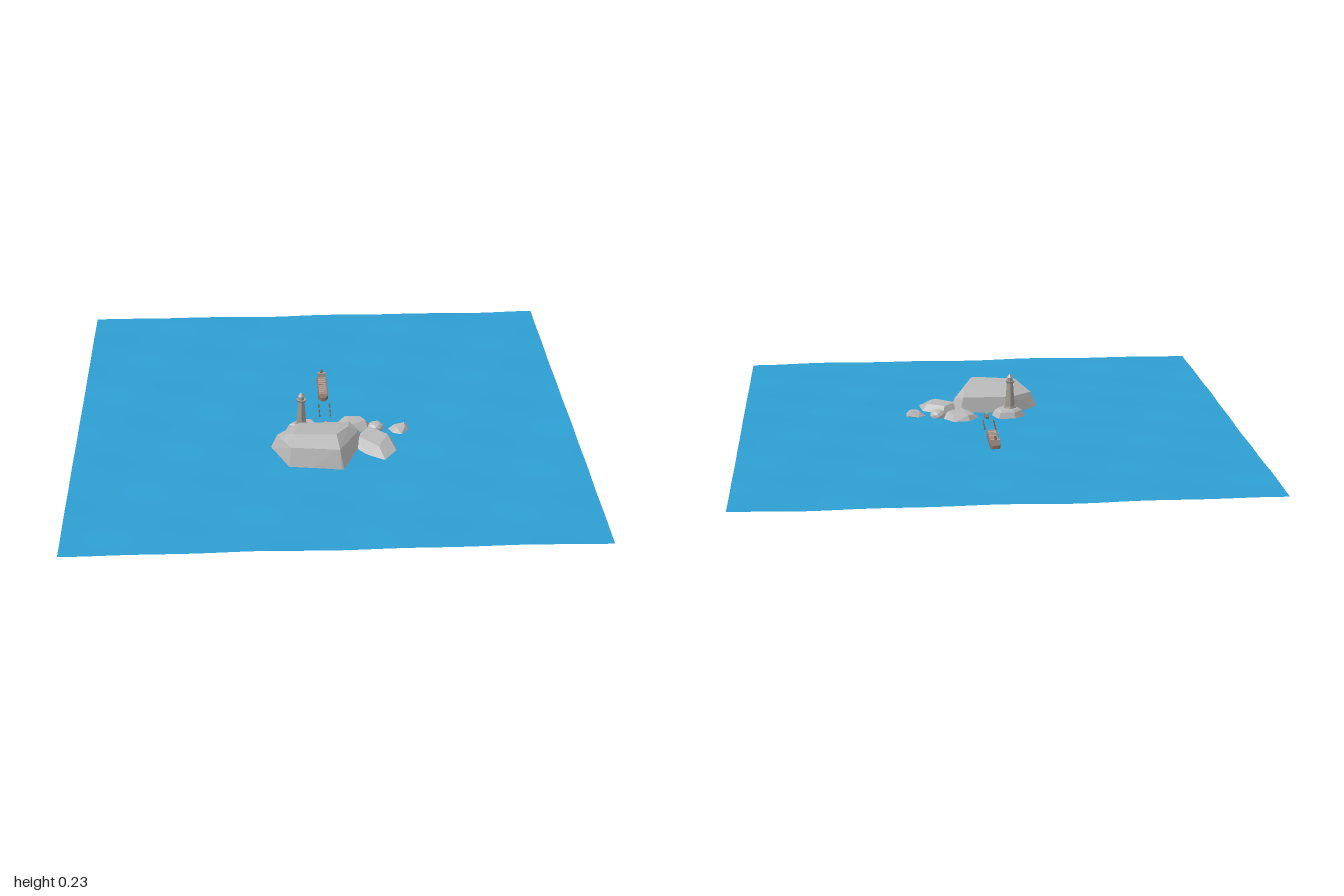
import * as THREE from 'three';
import { ConvexGeometry } from 'three/addons/geometries/ConvexGeometry.js';

const mat = (name, color) => {
  const m = new THREE.MeshStandardMaterial({ color });
  m.name = name;
  m.flatShading = true;
  return m;
};

export function createModel() {
  const root = new THREE.Group();
  const sea = mat('sea blue', 0x2d9fd2);
  sea.side = THREE.DoubleSide;
  sea.flatShading = false;
  const stone = mat('rock grey', 0xb9b9b9);
  const tower = mat('tower grey', 0xa09c98);
  const hullMat = mat('hull brown', 0x8a7468);
  const cargoMat = mat('cargo tan', 0xb39c90);

  const add = (name, geo, m, x = 0, y = 0, z = 0, parent = root) => {
    const mesh = new THREE.Mesh(geo, m);
    mesh.name = name;
    mesh.position.set(x, y, z);
    parent.add(mesh);
    return mesh;
  };
  const group = (name) => {
    const g = new THREE.Group();
    g.name = name;
    root.add(g);
    return g;
  };

  // Gently rippled sea sheet
  const water = new THREE.PlaneGeometry(2, 2, 48, 48).rotateX(-Math.PI / 2);
  const p = water.attributes.position;
  for (let i = 0; i < p.count; i++) {
    const x = p.getX(i), z = p.getZ(i);
    p.setY(i, 0.052 + 0.0015 * Math.sin(13 * x + 5 * z) + 0.0015 * Math.sin(17 * z - 7 * x + 1));
  }
  water.computeVertexNormals();
  add('sea', water, sea);

  // Faceted rocks, each the hull of a few [x, y, z] corners
  const rock = (name, pts) =>
    add(name, new ConvexGeometry(pts.map((c) => new THREE.Vector3(...c))), stone);

  rock('mainRock', [
    [-0.23, 0.04, 0.23], [-0.13, 0.04, 0.14], [0.11, 0.04, 0.14], [0.145, 0.04, 0.2], [0.06, 0.03, 0.435], [-0.16, 0.03, 0.405],
    [-0.2, 0.11, 0.24], [-0.11, 0.115, 0.155], [0.09, 0.115, 0.155], [0.125, 0.1, 0.2], [0.04, 0.13, 0.41], [-0.15, 0.125, 0.375],
    [-0.14, 0.15, 0.31], [0.03, 0.156, 0.33], [0.08, 0.135, 0.23],
    [-0.17, 0.012, 0.25], [-0.1, 0.01, 0.17], [0.1, 0, 0.2], [0.05, 0.01, 0.445], [-0.14, 0.01, 0.415],
  ]);
  rock('middleRock', [
    [0.03, 0.05, 0.07], [0.07, 0.05, 0.015], [0.14, 0.05, 0.01], [0.18, 0.05, 0.06], [0.17, 0.05, 0.12], [0.1, 0.05, 0.15], [0.04, 0.05, 0.12],
    [0.05, 0.07, 0.07], [0.08, 0.075, 0.03], [0.14, 0.073, 0.03], [0.16, 0.08, 0.08], [0.1, 0.083, 0.12],
    [0.06, 0.025, 0.07], [0.14, 0.02, 0.05], [0.12, 0.015, 0.12],
  ]);
  rock('sideRock', [
    [0.09, 0.045, 0.24], [0.13, 0.045, 0.14], [0.18, 0.045, 0.12], [0.26, 0.05, 0.19], [0.27, 0.05, 0.28], [0.22, 0.05, 0.355], [0.15, 0.045, 0.32],
    [0.12, 0.08, 0.21], [0.17, 0.085, 0.14], [0.24, 0.08, 0.2], [0.2, 0.075, 0.29],
    [0.12, 0.015, 0.22], [0.17, 0.01, 0.15], [0.22, 0.025, 0.22], [0.2, 0.022, 0.31],
  ]);
  rock('outerRock', [
    [0.25, 0.055, 0.11], [0.28, 0.055, 0.085], [0.33, 0.06, 0.09], [0.33, 0.06, 0.13], [0.3, 0.055, 0.16], [0.265, 0.055, 0.145],
    [0.275, 0.075, 0.11], [0.315, 0.078, 0.1], [0.315, 0.074, 0.135], [0.285, 0.074, 0.14],
    [0.28, 0.045, 0.11], [0.31, 0.045, 0.12],
  ]);
  const pebble = add('pebbleRock', new THREE.IcosahedronGeometry(0.033, 1), stone, 0.2, 0.058, 0.1);
  pebble.scale.y = 0.75;

  // Five-sided plinth rock under the lighthouse
  const plinth = [];
  const corners = [[-0.165, 0.09], [-0.12, 0.045], [-0.045, 0.04], [-0.02, 0.1], [-0.085, 0.175]];
  for (const [y, s] of [[0.02, 0.75], [0.045, 1], [0.075, 0.78], [0.083, 0.62]])
    for (const [x, z] of corners) plinth.push([-0.095 + (x + 0.095) * s, y, 0.105 + (z - 0.105) * s]);
  rock('lighthouseRock', plinth);

  // Lighthouse: stepped foot, tapering shaft, gallery, lantern and cap
  const lighthouse = group('lighthouse');
  lighthouse.position.set(-0.1, 0, 0.11);
  const stack = [
    ['foot', 0.026, 0.03, 0.078, 0.09], ['shaft', 0.014, 0.022, 0.09, 0.188],
    ['gallery', 0.021, 0.017, 0.188, 0.197], ['lantern', 0.012, 0.012, 0.197, 0.212],
    ['cap', 0.002, 0.016, 0.212, 0.227],
  ];
  for (const [name, top, bottom, y0, y1] of stack)
    add(name, new THREE.CylinderGeometry(top, bottom, y1 - y0, 6), tower, 0, (y0 + y1) / 2, 0, lighthouse);

  // Ship hull drawn as a deck outline and extruded upward
  const hullGeo = (w, z0, z1, h) => {
    const s = new THREE.Shape();
    const b = (z1 - z0) * 0.1;
    s.moveTo(-w * 0.6, -z0);
    s.lineTo(-w, -z0 - b);
    s.lineTo(-w, -z1 + b);
    s.lineTo(-w * 0.4, -z1);
    s.lineTo(w * 0.4, -z1);
    s.lineTo(w, -z1 + b);
    s.lineTo(w, -z0 - b);
    s.lineTo(w * 0.6, -z0);
    return new THREE.ExtrudeGeometry(s, { depth: h, bevelEnabled: false }).rotateX(-Math.PI / 2);
  };
  const ship = group('cargoShip');
  add('hull', hullGeo(0.021, -0.358, -0.15, 0.024), hullMat, 0, 0.042, 0, ship);
  for (let i = 0; i < 9; i++)
    add('cargo', new THREE.BoxGeometry(0.032, 0.009, 0.012), cargoMat, 0, 0.0695, -0.318 + i * 0.0175, ship);
  add('bridge', new THREE.BoxGeometry(0.034, 0.022, 0.016), cargoMat, 0, 0.076, -0.342, ship);
  add('funnel', new THREE.CylinderGeometry(0.005, 0.006, 0.016, 6), hullMat, 0, 0.094, -0.343, ship);

  // Small boat near the rocks
  const boat = group('smallBoat');
  add('boatHull', hullGeo(0.009, 0.045, 0.092, 0.011), hullMat, 0, 0.05, 0, boat);
  add('boatCabin', new THREE.BoxGeometry(0.011, 0.01, 0.013), cargoMat, 0, 0.066, 0.07, boat);

  // Channel buoys in mirrored pairs
  for (const side of [-1, 1])
    for (const z of [-0.095, -0.05, -0.01])
      add('buoy', new THREE.CylinderGeometry(0.002, 0.005, 0.018, 6), hullMat, side * 0.022, 0.058, z);

  return root;
}
